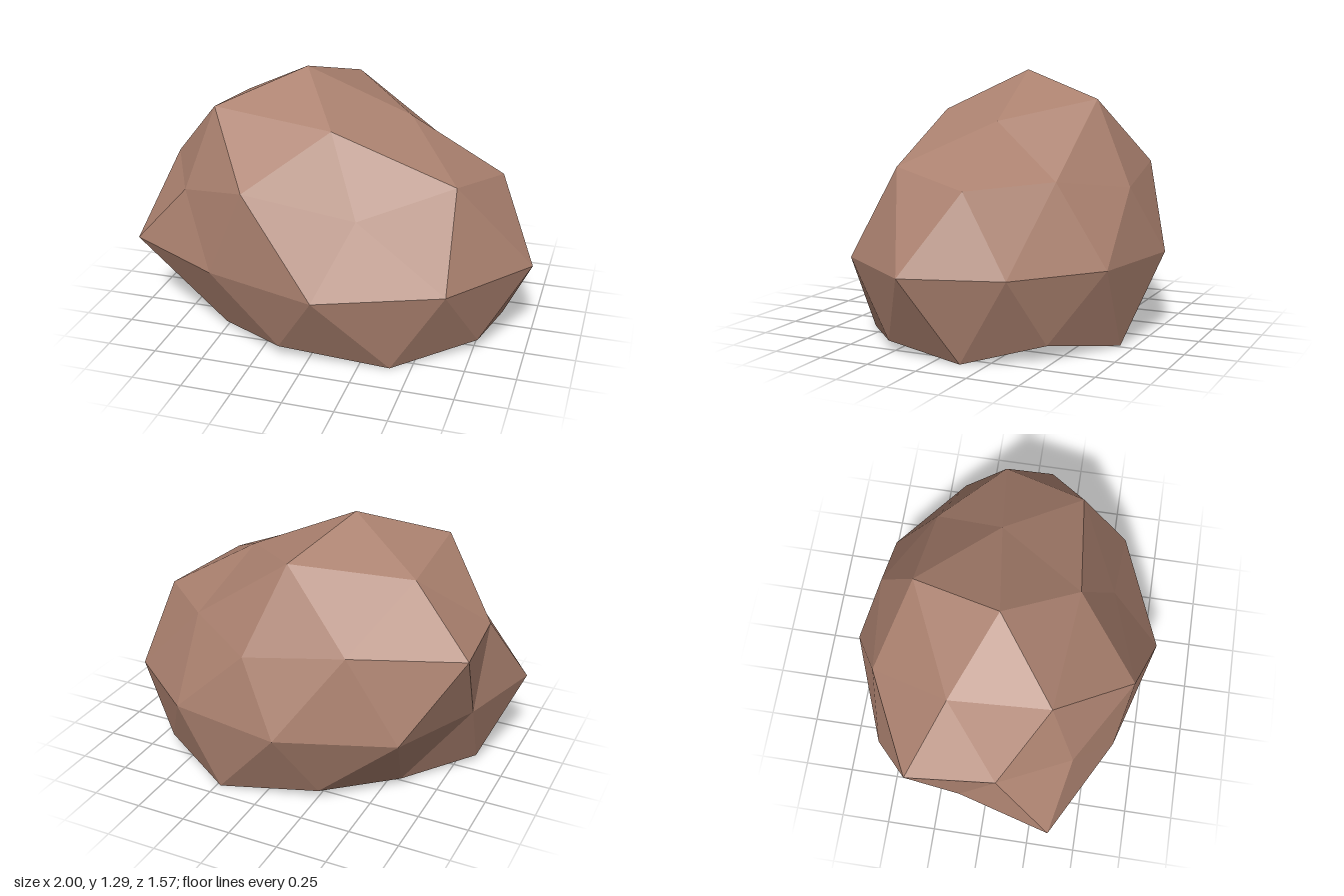
import * as THREE from 'three';

// Cross-sections of the boulder, each running counterclockwise seen from above, starting at the front.
const top = [-0.19, 1.29, -0.01];
const crown = [
  [0.04, 1.09, 0.345], [0.33, 1.06, -0.08], [-0.04, 1.155, -0.45],
  [-0.58, 1.076, -0.2], [-0.57, 1.14, 0.29],
];
const shoulder = [
  [-0.3, 0.86, 0.665], [0.21, 0.72, 0.515], [0.64, 0.855, 0.295], [0.795, 0.78, -0.13], [0.46, 0.8, -0.44],
  [0.09, 0.745, -0.67], [-0.41, 0.82, -0.61], [-0.91, 0.8, -0.365], [-0.87, 0.8, 0.07], [-0.69, 0.74, 0.42],
];
const waist = [
  [-0.495, 0.62], [0.07, 0.785], [0.655, 0.55], [0.995, 0.1], [0.85, -0.37],
  [0.45, -0.69], [-0.12, -0.785], [-0.665, -0.575], [-0.87, -0.12], [-1, 0.35],
].map(([x, z]) => [x, 0.405, z]);
const foot = [
  [-0.15, 0.055, 0.62], [0.4, 0, 0.575], [0.77, 0.05, 0.275], [0.83, 0, -0.13], [0.63, 0.075, -0.47],
  [0.23, 0, -0.68], [-0.26, 0.05, -0.58], [-0.56, 0.01, -0.25], [-0.84, 0.035, 0.08], [-0.5, 0.03, 0.42],
];
const base = [
  [-0.1, 0, 0.36], [0.42, 0, 0.17], [0.35, 0, -0.28], [-0.14, 0, -0.36], [-0.39, 0, 0.04],
];
const bottom = [0, 0, 0];

export function createModel() {
  const positions = [];
  const tri = (a, b, c) => positions.push(...a, ...b, ...c);
  const at = (ring, i) => ring[(i + ring.length) % ring.length];

  // Closes a ten-point ring with five inner points and a pole
  const cap = (pole, inner, ring, offset, face) => {
    for (let k = 0; k < 5; k++) {
      const p = inner[k], next = at(inner, k + 1), r = 2 * k + offset;
      face(p, at(ring, r - 1), at(ring, r));
      face(p, at(ring, r), at(ring, r + 1));
      face(p, at(ring, r + 1), next);
      face(pole, p, next);
    }
  };
  cap(top, crown, shoulder, 1, tri);
  cap(bottom, base, foot, 0, (a, b, c) => tri(a, c, b));

  // Zigzag bands above and below the waist
  for (let i = 0; i < 10; i++) {
    const a = waist[i], b = at(waist, i + 1);
    tri(shoulder[i], a, b);
    tri(shoulder[i], b, at(shoulder, i + 1));
    tri(a, foot[i], b);
    tri(b, foot[i], at(foot, i + 1));
  }

  const geometry = new THREE.BufferGeometry();
  geometry.setAttribute('position', new THREE.Float32BufferAttribute(positions, 3));
  geometry.computeVertexNormals(); // unshared corners give flat facets

  const stone = new THREE.MeshStandardMaterial({ color: 0xab816f });
  stone.name = 'brownStone';
  stone.flatShading = true;

  const boulder = new THREE.Mesh(geometry, stone);
  boulder.name = 'boulder';
  const group = new THREE.Group();
  group.name = 'rock';
  group.add(boulder);
  return group;
}
